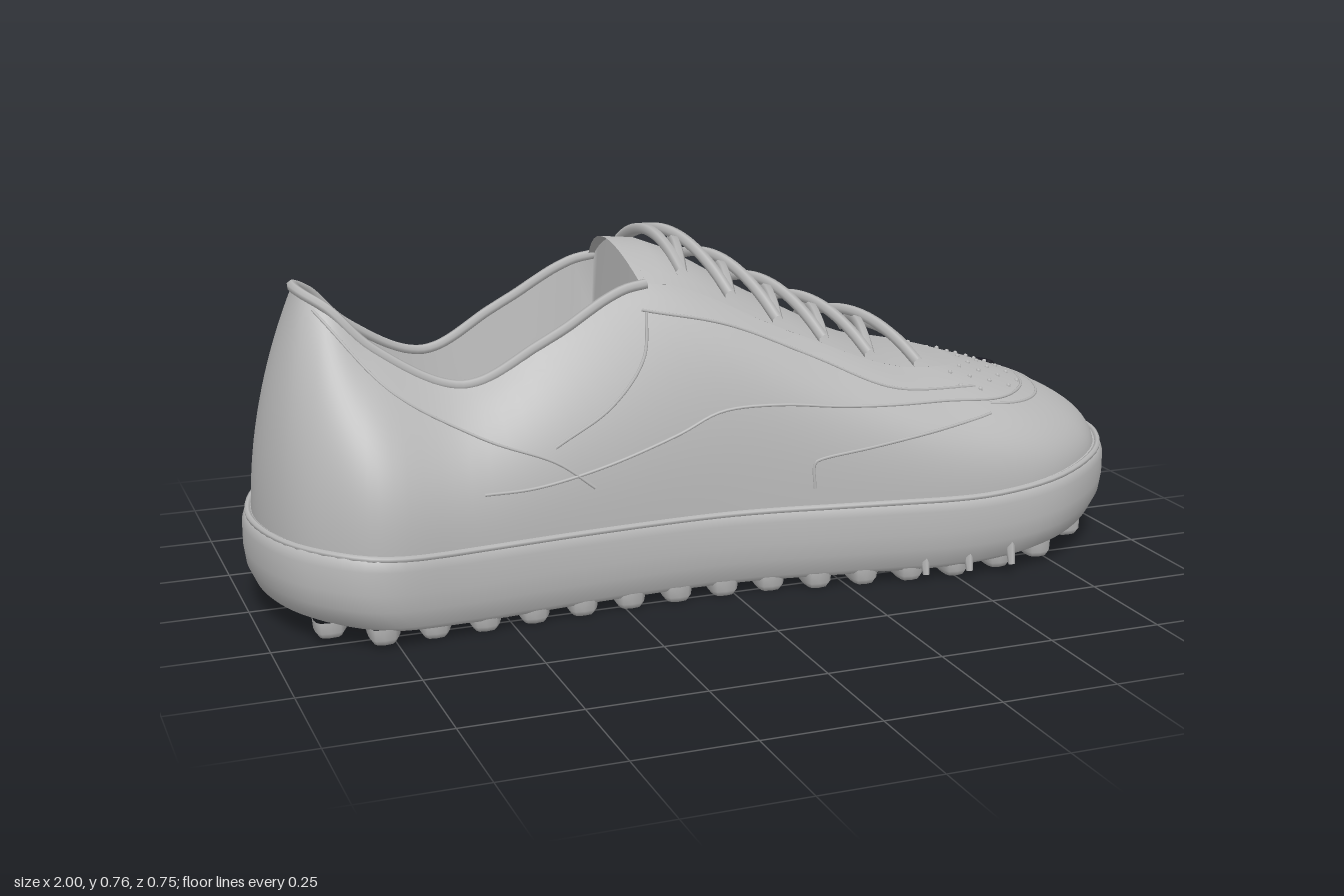
import * as THREE from 'three';
import { mergeGeometries } from 'three/addons/utils/BufferGeometryUtils.js';

const V = (x, y, z) => new THREE.Vector3(x, y, z);
const { smoothstep, lerp, clamp } = THREE.MathUtils;
const grey = new THREE.MeshStandardMaterial({ color: 0xb8b8b8 });
grey.name = 'grey';
const greyOpen = new THREE.MeshStandardMaterial({ color: 0xb8b8b8, side: THREE.DoubleSide });
greyOpen.name = 'grey two-sided';
const ink = new THREE.MeshStandardMaterial({ color: 0x1a1a22 });
ink.name = 'ink';

// Skin through rings of points; rings run heel, left side, toe, right side.
function loft(rings, closed = true) {
  const n = rings[0].length, pos = [], idx = [];
  rings.forEach(r => r.forEach(p => pos.push(p.x, p.y, p.z)));
  for (let j = 0; j < rings.length - 1; j++) {
    for (let i = 0; i < (closed ? n : n - 1); i++) {
      const a = j * n + i, b = j * n + (i + 1) % n;
      idx.push(a, b, a + n, b, b + n, a + n);
    }
  }
  const g = new THREE.BufferGeometry();
  g.setAttribute('position', new THREE.Float32BufferAttribute(pos, 3));
  g.setIndex(idx);
  g.computeVertexNormals();
  return g;
}
const tube = (pts, r, closed = false, seg = 0) => new THREE.TubeGeometry(
  new THREE.CatmullRomCurve3(pts, closed, 'centripetal'), seg || Math.max(8, pts.length * 3), r, 6, closed);

// Sole outline as x, z
const OUTLINE = [
  [-1, 0], [-.97, .17], [-.91, .27], [-.8, .345], [-.6, .325], [-.3, .297], [0, .29], [.3, .335],
  [.55, .37], [.75, .355], [.9, .255], [.98, .12], [1, .02], [.97, -.13], [.88, -.25], [.72, -.335],
  [.5, -.37], [.3, -.375], [0, -.353], [-.3, -.33], [-.6, -.345], [-.8, -.355], [-.91, -.28], [-.97, -.16]];
// Collar and lace edge on the left half, heel to toe, as x, y, distance from the middle
const EDGE = [
  [-.87, .685, 0], [-.86, .68, .055], [-.82, .655, .1], [-.74, .575, .135], [-.56, .49, .17], [-.38, .575, .185],
  [-.16, .675, .175], [.16, .55, .195], [.4, .455, .2], [.56, .428, .15], [.62, .42, .09], [.64, .418, .04], [.645, .417, 0]];
const MID = -.022, COUNT = OUTLINE.length, N = 144;
const edgePoints = OUTLINE.map((_, i) => {
  const e = EDGE[i <= 12 ? i : COUNT - i];
  return V(e[0], e[1], MID + (i <= 12 ? 1 : -1) * e[2]);
});
const outlineCurve = new THREE.CatmullRomCurve3(OUTLINE.map(p => V(p[0], 0, p[1])), true);
const edgeCurve = new THREE.CatmullRomCurve3(edgePoints, true);
const edgeAt = u => edgeCurve.getPoint((((u / COUNT) % 1) + 1) % 1);
const outline = Array.from({ length: N }, (_, i) => outlineCurve.getPoint(i / N));
const rim = Array.from({ length: N }, (_, i) => edgeCurve.getPoint(i / N));
const topY = x => .188 + .042 * smoothstep(x, .5, 1) + .02 * smoothstep(-x, .6, 1);
const lowY = x => .026 + .074 * Math.max(0, (x - .45) / .55) ** 2 + .022 * Math.max(0, (-x - .6) / .4);
const soleRing = (s, f) => outline.map(p => V(p.x * (.5 + s / 2), lerp(lowY(p.x), topY(p.x), f), p.z * s));

export function createModel() {
  const model = new THREE.Group();
  const add = (name, geometry, material = grey) => {
    const m = new THREE.Mesh(geometry, material);
    m.name = name;
    model.add(m);
    return m;
  };

  // Sole wall, underside and welt
  add('soleWall', loft([[.91, 0], [.955, .08], [.99, .32], [1, .55], [1, .85], [.985, 1], [.95, 1.02]]
    .map(([s, f]) => soleRing(s, f))));
  add('soleUnderside', loft([0, .5, .91].map(s =>
    outline.map(p => V(p.x * (s ? .5 + s / 2 : .95), lowY(p.x), p.z * s)))));
  add('welt', tube(soleRing(.975, 1).filter((_, i) => i % 2 === 0), .007, true, 144));

  // Upper wall, full at the sides and leaning in towards the collar and lace edges
  const STEPS = 18, rings = [];
  for (let j = 0; j <= STEPS; j++) {
    const v = j / STEPS;
    rings.push(outline.map((p, i) => {
      const b = V(p.x * .98, topY(p.x) - .02, p.z * .955), t = rim[i];
      const k = v ** (2.7 - .75 * smoothstep(-p.x, .75, 1) - .5 * smoothstep(p.x, .6, .95));
      return V(b.x + (t.x - b.x) * k, b.y + (t.y - b.y) * v, b.z + (t.z - b.z) * k);
    }));
  }
  const upper = add('upper', loft(rings), greyOpen);

  // Arched tongue and vamp between the lace edges
  const tongue = [];
  for (let j = 0; j <= 32; j++) {
    const u = 5.95 + (12 - 5.95) * j / 32, l = edgeAt(u), r = edgeAt(-u);
    const rise = .07 * Math.max(0, 1 - (l.x + .16) / .8);
    tongue.push(Array.from({ length: 13 }, (_, i) => {
      const s = i / 6 - 1, p = l.clone().lerp(r, i / 12);
      p.y += rise * (1 - s * s);
      p.x -= j === 0 ? .02 * (1 - s * s) : 0;
      return p;
    }));
  }
  add('tongue', loft(tongue.reverse(), false), greyOpen);

  // Collar lining narrowing to the foot bed, and padded rim
  const mouth = [];
  for (let i = 0; i <= 60; i++) mouth.push(edgeAt(-6 + i * .2));
  const collarLine = mouth.slice();
  for (let i = 1; i < 10; i++) {
    const p = collarLine[60].clone().lerp(collarLine[0], i / 10);
    p.y += .065 * (1 - (i / 5 - 1) ** 2);
    mouth.push(p);
  }
  const bed = mouth.map(p => {
    const x = -.45 + (p.x + .45) * .86, half = .128 * Math.sqrt(Math.max(0, 1 - Math.min(0, (x + .45) / .37) ** 2));
    return V(x, .2, MID + clamp((p.z - MID) * 2, -half, half));
  });
  add('lining', loft([0, .3, .65, 1].map(f => mouth.map((p, i) => p.clone().lerp(bed[i], f)))), greyOpen);
  add('collarRim', tube(collarLine, .011, false, 120));

  // Crossed laces over the tongue
  const LACE = [[-.09, .7], [.02, .643], [.13, .58], [.24, .528], [.35, .485], [.47, .455]];
  const laces = [];
  const lace = (a, b, rise, flip) => laces.push(tube(Array.from({ length: 9 }, (_, i) => {
    const t = i / 8, s = 2 * t - 1;
    return V(a[0] + (b[0] - a[0]) * t, a[1] + (b[1] - a[1]) * t + rise * (1 - s * s), MID + flip * s * .2);
  }), .0125, false, 24));
  LACE.forEach((p, i) => {
    const rise = .058 - .003 * i;
    if (i < 5) [1, -1].forEach(f => lace(p, LACE[i + 1], rise + (f > 0 ? .016 : 0), f));
    if (i % 5 === 0) lace(p, p, rise - .004, 1);
  });
  add('laces', mergeGeometries(laces));

  // Helpers that lay points on the upper
  const ray = new THREE.Raycaster();
  const cast = (from, dir) => {
    ray.set(from, dir);
    const hit = ray.intersectObject(upper)[0];
    return hit ? hit.point : null;
  };
  const onSide = (x, y, side) => cast(V(x, y, side * 2), V(0, 0, -side));
  const onTop = (x, z) => cast(V(x, 2, z), V(0, -1, 0));
  const sideTube = (pts, side, r, closed = false) => {
    const path = new THREE.CatmullRomCurve3(pts.map(p => V(p[0], p[1], 0)), closed, 'centripetal');
    const n = pts.length * 4;
    const laid = path.getPoints(n).slice(0, closed ? n : n + 1).map(p => onSide(p.x, p.y, side)).filter(p => p);
    return laid.length > 2 ? [tube(laid, r, closed, n * 2)] : [];
  };

  // Seams on both sides and around the toe cap
  const SEAMS = [
    [[.8, .365], [.65, .37], [.5, .385], [.25, .4], [.1, .415], [-.03, .41], [-.13, .37], [-.3, .32], [-.45, .295], [-.56, .295]],
    [[-.85, .655], [-.72, .5], [-.55, .4], [-.4, .34], [-.32, .28]],
    [[.17, .23], [.17, .285], [.18, .292], [.3, .312], [.45, .335], [.6, .352]],
    [[-.18, .625], [0, .585], [.2, .5], [.37, .425], [.6, .395]],
    [[-.4, .37], [-.27, .44], [-.19, .53], [-.17, .62]]];
  const seams = SEAMS.flatMap(s => [1, -1].flatMap(side => sideTube(s, side, .0035)));
  const toe = Array.from({ length: 17 }, (_, i) => {
    const a = (i / 8 - 1) * 1.45;
    return onTop(.58 + .25 * Math.cos(a), .01 + .25 * Math.sin(a));
  }).filter(p => p);
  seams.push(tube(toe, .0035));
  add('seams', mergeGeometries(seams));

  // Toe perforations
  const dots = [];
  for (let i = 0; i < 5; i++) {
    for (let j = -4; j <= 4; j++) {
      const p = onTop(.56 + .05 * i, .005 + .052 * j);
      if (p && Math.hypot(.05 * i, .052 * j) < .23) dots.push(new THREE.SphereGeometry(.006, 6, 4).translate(p.x, p.y, p.z));
    }
  }
  add('perforations', mergeGeometries(dots));

  // Ink drawings on the right side
  const draw = (name, lines, closed = false, r = .009) => {
    const parts = lines.flatMap(l => sideTube(l, -1, r, closed));
    if (parts.length) add(name, mergeGeometries(parts), ink);
  };
  const circle = (x, y, r, n = 12) => Array.from({ length: n }, (_, i) =>
    [x + r * Math.cos(i * 2 * Math.PI / n), y + r * Math.sin(i * 2 * Math.PI / n)]);
  const BONE = [[-.04, .008], [-.048, .022], [-.062, .016], [-.056, 0], [-.062, -.016], [-.048, -.022], [-.04, -.008],
    [.04, -.008], [.048, -.022], [.062, -.016], [.056, 0], [.062, .016], [.048, .022], [.04, .008]];
  [[.585, .308, .4], [.735, .335, .25]].forEach(([x, y, a]) => draw('bone', [BONE.map(([p, q]) =>
    [x + p * Math.cos(a) - q * Math.sin(a), y + p * Math.sin(a) + q * Math.cos(a)])], true, .008));
  draw('roundFace', [circle(.395, .315, .052)], true);
  draw('faceMarks', [[[.365, .33], [.38, .33], [.39, .325]], [[.405, .33], [.42, .33], [.425, .325]],
    [[.365, .3], [.395, .285], [.425, .3]]], false, .007);
  draw('keyhole', [circle(.1, .4, .025, 8), [[.09, .375], [.075, .285], [.125, .285], [.11, .375]]], true);
  draw('rays', [-1, 0, 1].map(k => [[.09 + .04 * k, .445], [.09 + .05 * k, .465], [.09 + .06 * k, .485]]), false, .007);
  const rungs = Array.from({ length: 6 }, (_, i) => [[-.18, .31 + .032 * i], [-.14, .32 + .032 * i], [-.1, .33 + .032 * i]]);
  draw('ladder', [[[-.175, .29], [-.175, .4], [-.175, .51]], [[-.105, .29], [-.105, .4], [-.105, .51]], ...rungs], false, .008);
  draw('squiggle', [[[-.29, .5], [-.3, .53], [-.25, .54], [-.26, .575], [-.21, .58], [-.225, .61], [-.18, .625], [-.18, .655]]]);
  draw('wavyLine', [[[-.06, .62], [0, .59], [.06, .545], [.16, .505], [.26, .46], [.37, .425]]], false, .008);
  const WIRE = [[-.84, .63], [-.8, .57], [-.73, .5], [-.65, .43], [-.57, .37], [-.5, .375], [-.42, .41], [-.33, .455], [-.24, .51]];
  draw('barbedLine', [WIRE, ...WIRE.slice(1, 8).map(([x, y]) => [[x - .012, y - .02], [x, y], [x + .012, y + .02]])]);
  draw('hook', [[[-.55, .365], [-.52, .32], [-.545, .305], [-.55, .26]]]);

  // Herringbone tread bars, open on top, in two columns
  const reach = (x, side) => Math.min(...outline.filter(p => Math.abs(p.x - x) < .055 && p.z * side > 0).map(p => p.z * side));
  const bars = [];
  for (let i = 0; i < 17; i++) {
    const x = -.86 + i * .107;
    [1, -1].forEach(side => {
      const far = Math.min(.315, reach(x, side) * .87), near = .004, half = (far - near) / 2, c = (far + near) / 2;
      const ring = (s, y) => Array.from({ length: 20 }, (_, k) => {
        const a = k * Math.PI / 10, ex = -Math.sign(Math.cos(a)) * Math.abs(Math.cos(a)) ** .5;
        const ez = Math.sign(Math.sin(a)) * Math.abs(Math.sin(a)) ** .5;
        const z = .025 + side * c + ez * Math.max(.01, half - (1 - s) * .04);
        return V(x + ex * .038 * s - .16 * (Math.abs(z) - .15), y, z);
      });
      const y = lowY(x), base = y - .026 - .012 * smoothstep(x, .6, .85);
      const mid = ring(1, base).map(() => V(x - .16 * (c - .15), base, .025 + side * c));
      bars.push(loft([mid, ring(.75, base), ring(.95, base + .012), ring(1, y + .01)]));
    });
  }
  add('treadBars', mergeGeometries(bars));

  // Small edge lugs at the forefoot
  const lugs = [];
  [.42, .52, .62].forEach(x => [1, -1].forEach(side => {
    const g = new THREE.CylinderGeometry(.013, .007, .055, 6);
    lugs.push(g.rotateX(-side * .25).translate(x, lowY(x) + .018, side * reach(x, side) * .965));
  }));
  add('edgeLugs', mergeGeometries(lugs));
  return model;
}
